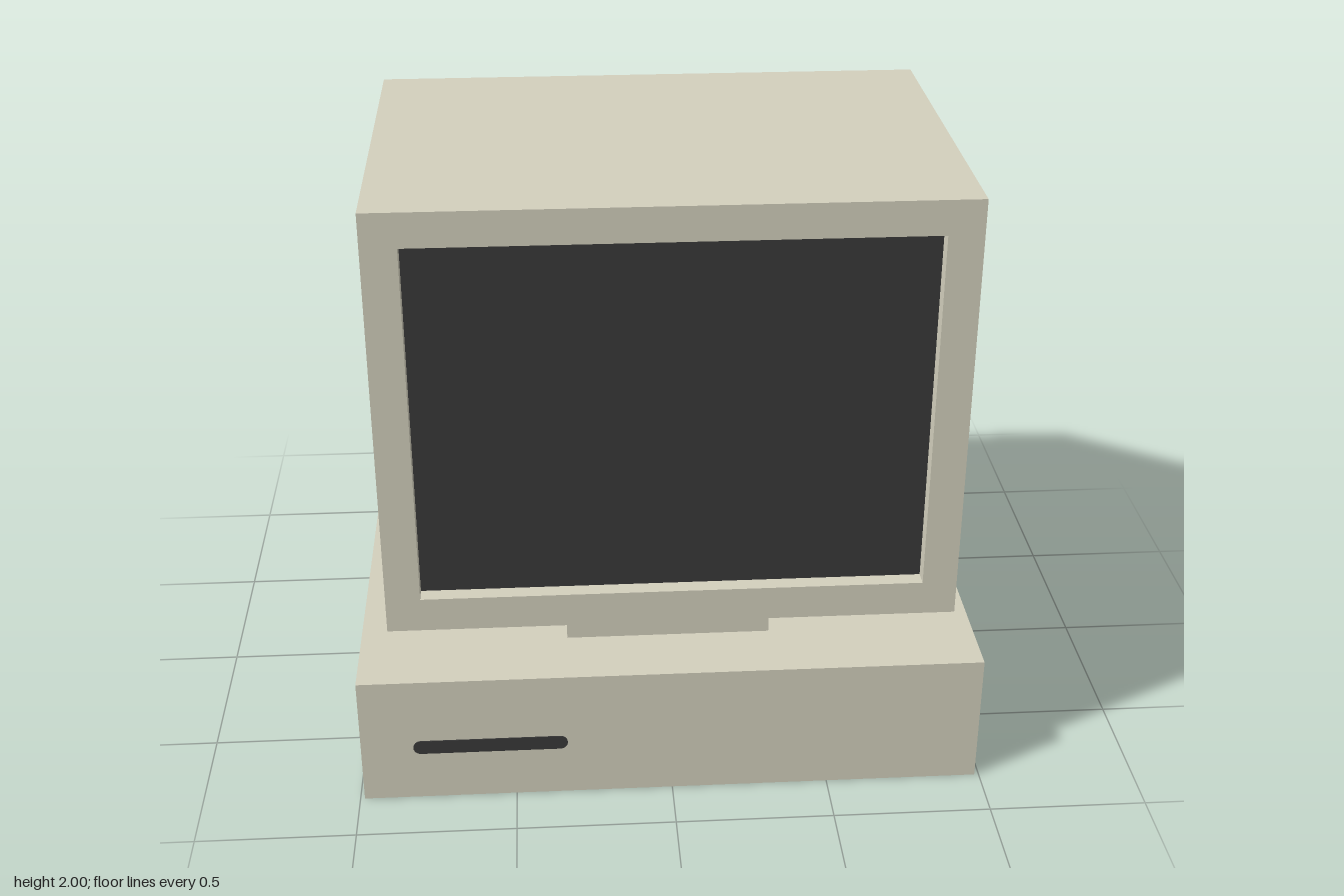
import * as THREE from 'three';

// Rectangular cross-section facing +z, corners counter-clockwise
const rect = (x0, x1, y0, y1, z) => [[x0, y0, z], [x1, y0, z], [x1, y1, z], [x0, y1, z]];

// Skin between successive rectangles running front to back, closed at the rear
function loft(rings) {
  const pos = [];
  const quad = (a, b, c, d) => pos.push(...a, ...b, ...c, ...a, ...c, ...d);
  for (let k = 0; k < rings.length - 1; k++) {
    const a = rings[k], b = rings[k + 1];
    for (let i = 0; i < 4; i++) {
      const j = (i + 1) % 4;
      quad(a[i], b[i], b[j], a[j]);
    }
  }
  const e = rings[rings.length - 1];
  quad(e[0], e[3], e[2], e[1]);
  const geo = new THREE.BufferGeometry();
  geo.setAttribute('position', new THREE.Float32BufferAttribute(pos, 3));
  geo.computeVertexNormals();
  return geo;
}

export function createModel() {
  const group = new THREE.Group();
  group.name = 'desktopComputer';

  const beige = new THREE.MeshStandardMaterial({ color: 0xd2cfbc });
  beige.name = 'beigePlastic';
  const dark = new THREE.MeshStandardMaterial({ color: 0x393939 });
  dark.name = 'darkGrey';

  const add = (name, geo, mat, x = 0, y = 0, z = 0) => {
    const mesh = new THREE.Mesh(geo, mat);
    mesh.name = name;
    mesh.position.set(x, y, z);
    group.add(mesh);
  };

  const front = 0.823, back = -0.383, recess = 0.05;

  // Computer case
  add('baseCase', new THREE.BoxGeometry(1.972, 0.44, front - back), beige, 0, 0.22, (front + back) / 2);

  // Drive slot: thin plate with rounded ends
  const r = 0.024, half = 0.22;
  const slot = new THREE.Shape();
  slot.absarc(half, 0, r, -Math.PI / 2, Math.PI / 2, false);
  slot.absarc(-half, 0, r, Math.PI / 2, Math.PI * 1.5, false);
  add('driveSlot', new THREE.ExtrudeGeometry(slot, { depth: 0.004, bevelEnabled: false, curveSegments: 6 }),
    dark, -0.577, 0.194, front - 0.001);

  // Pedestal: flared underside and neck, lofted downwards
  const pedestal = loft([
    rect(-0.875, 0.875, -front, -back, 0.635),
    rect(-0.325, 0.325, -0.603, 0.053, 0.525),
    rect(-0.325, 0.325, -0.603, 0.053, 0.44),
  ]);
  pedestal.rotateX(-Math.PI / 2);
  add('pedestal', pedestal, beige);

  // Monitor shell: recess wall, bezel, sides and tapered rear
  const opening = [-0.769, 0.769, 0.745, 1.893];
  add('monitorShell', loft([
    rect(...opening, front - recess),
    rect(...opening, front),
    rect(-0.875, 0.875, 0.635, 2, front),
    rect(-0.875, 0.875, 0.635, 2, back),
    rect(-0.55, 0.55, 0.99, 1.755, -0.823),
  ]), beige);

  // Screen at the bottom of the recess
  const [x0, x1, y0, y1] = opening;
  add('screen', new THREE.PlaneGeometry(x1 - x0, y1 - y0), dark, 0, (y0 + y1) / 2, front - recess);

  return group;
}
